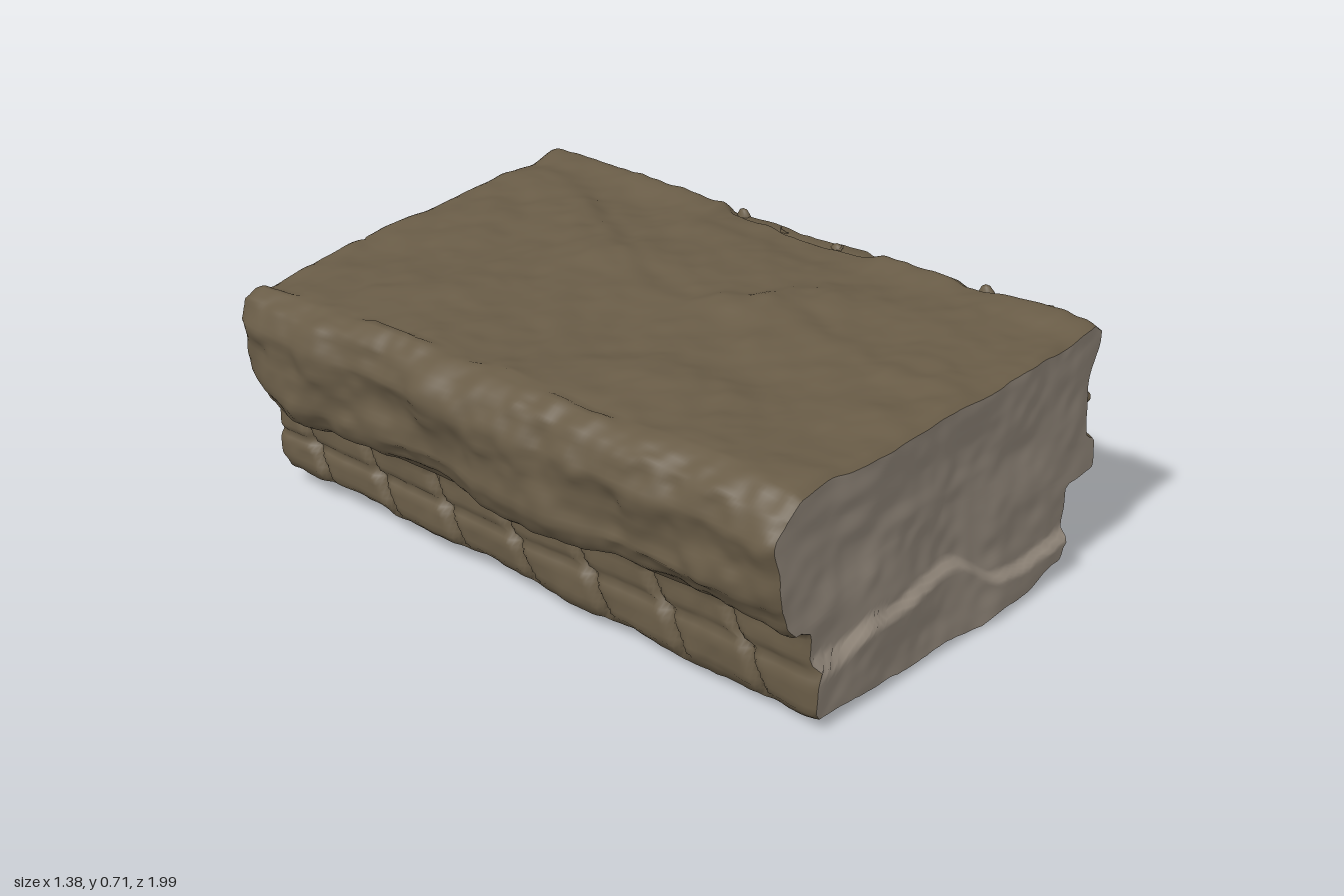
import * as THREE from 'three';

const body = new THREE.MeshStandardMaterial({ color: 0x695c47 });
const cut = new THREE.MeshStandardMaterial({ color: 0x968b7e });

// Smooth seeded value noise, summed over octaves, range about -1..1
const hash = (x, y, z) => {
  const s = Math.sin(x * 127.1 + y * 311.7 + z * 74.7) * 43758.5453;
  return (s - Math.floor(s)) * 2 - 1;
};
const { lerp, smoothstep, clamp } = THREE.MathUtils;
function noise(x, y, z) {
  const [X, Y, Z] = [x, y, z].map(Math.floor);
  const [u, v, w] = [x - X, y - Y, z - Z].map(t => t * t * (3 - 2 * t));
  const row = (b, c) => lerp(hash(X, Y + b, Z + c), hash(X + 1, Y + b, Z + c), u);
  return lerp(lerp(row(0, 0), row(1, 0), v), lerp(row(0, 1), row(1, 1), v), w);
}
function rough(x, y, z, f) {
  return noise(x * f, y * f, z * f) * 0.6 + noise(x * f * 2.3, y * f * 2.3, z * f * 2.3) * 0.3
    + noise(x * f * 5, y * f * 5, z * f * 5) * 0.15;
}

// Moulded cross-section, counterclockwise seen from the front
const N = 220, M = 170;
const outline = [
  [-0.51, 0.04], [0, 0.022], [0.33, 0.032], [0.5, 0.06], [0.53, 0.11], [0.54, 0.25], [0.67, 0.255],
  [0.682, 0.28], [0.682, 0.345], [0.665, 0.37], [0.642, 0.39], [0.642, 0.52], [0.668, 0.62], [0.672, 0.68],
  [0.635, 0.708], [0.2, 0.695], [-0.2, 0.675], [-0.58, 0.675], [-0.64, 0.64], [-0.672, 0.56],
  [-0.655, 0.48], [-0.66, 0.38], [-0.625, 0.32], [-0.53, 0.27], [-0.53, 0.07],
].map(p => new THREE.Vector2(...p));
const shape = new THREE.Shape(outline);
shape.closePath();
const ring = shape.getSpacedPoints(N).slice(0, N);
const normals = ring.map((p, i) => {
  const t = ring[(i + 1) % N].clone().sub(ring[(i + N - 1) % N]).normalize();
  return new THREE.Vector2(t.y, -t.x);
});

// Broken front end with a jutting lower ledge, and a sawn back end with one groove
function frontZ(x, y) {
  const ledge = 0.235 - 0.11 * smoothstep(x, 0.02, 0.22) - 0.05 * smoothstep(-x, 0.3, 0.45) + 0.02 * noise(x * 9, 1, 2);
  return 0.955 + 0.02 * x + 0.026 * smoothstep(ledge - y, -0.006, 0.022) + 0.02 * rough(x, y, 7, 4);
}
function backZ(x, y) {
  const line = -0.17 + 0.012 * noise(y * 12, 3, 5);
  const groove = Math.exp(-Math.pow((x - line) / 0.014, 2)) * 0.012;
  return -0.99 + groove + 0.005 * rough(x, y, 3, 9);
}

// Carving and weathering measured along the surface normal
function relief(p, n, z) {
  let d = 0.012 * rough(p.x, p.y, z, 6);
  const inEnds = smoothstep(1 - Math.abs(z), 0.01, 0.05);
  if (n.y < -0.7 && p.y < 0.12) {
    // Shallow panel below, inside a worn frame
    d -= 0.022 * smoothstep(0.45 - Math.abs(p.x), 0, 0.05) * smoothstep(0.9 - Math.abs(z), 0, 0.05);
    d += 0.012 * rough(p.x, 1, z, 8) + 0.02 * Math.exp(-p.x * p.x * 6 - Math.pow((z - 0.7) * 3, 2));
  } else if (n.x > 0.6 && p.y < 0.25) {
    // Row of curling overlapping leaves
    const q = (z - Math.pow(0.25 - p.y, 1.5) * 2.2 + 0.02 * noise(z * 4, p.y * 9, 2) + 3.04) / 0.243;
    const f = q - Math.floor(q);
    d += inEnds * (0.045 * f * f * smoothstep(1 - f, 0, 0.1) - 0.02) + 0.012 * rough(p.x, p.y, z, 11);
    d -= 0.25 * Math.max(0, 0.12 - p.y) * (1 - f);
  } else if (n.x < -0.6 && p.y < 0.27) {
    // Worn leaf blocks on the other side
    const q = (z + (p.y - 0.15) * 0.5 + 3) / 0.27;
    const f = Math.abs(q - Math.floor(q) - 0.5);
    d -= inEnds * 0.022 * smoothstep(f, 0.4, 0.5) + 0.015 * Math.exp(-Math.pow((p.y - 0.17) / 0.015, 2));
  } else if (p.x < -0.57) {
    d += 0.04 * rough(p.x, p.y * 1.3, z, 4) - 0.02 * smoothstep(-z, 0.85, 1);
  } else if (n.y > 0.6) {
    // Split bedding plane and chipped hollows on top
    const edge = 0.1 + 0.45 * Math.max(0, -0.15 - z) + 0.12 * noise(z * 4, 4, 1);
    d += 0.022 * rough(p.x, 2, z, 3.5) - 0.005;
    d -= 0.012 * smoothstep(p.x, edge, edge + 0.08) * smoothstep(0.62 - p.x, 0, 0.1);
    d -= 0.025 * smoothstep(-z, 0.75, 1) * smoothstep(-p.x, 0.1, 0.6);
    d -= 0.03 * smoothstep(p.x, 0.45, 0.64) * smoothstep(noise(z * 5, 8, 1), 0, 0.6);
  } else if (p.y > 0.25 && p.y < 0.37) {
    d *= 0.5;
  } else if (p.x > 0.6 && p.y > 0.39) {
    // Uneven ground behind the foliage
    d += 0.03 * rough(3, p.y, z, 7) * inEnds;
  }
  return d - 0.011 * Math.pow(clamp((Math.abs(z) - 0.96) / 0.04, 0, 1), 2);
}

function surfacePoint(i, v) {
  const p = ring[i], n = normals[i], d = relief(p, n, v);
  const x = p.x + n.x * d;
  let y = p.y + n.y * d;
  y += (0.008 - 0.022 * v) * smoothstep(0.22 - y, 0, 0.15);
  return new THREE.Vector3(x, Math.max(0, y), lerp(backZ(x, y), frontZ(x, y), (v + 1) / 2));
}

// Mesh from rows of N points, each row a closed loop
function loft(name, rows, pointAt, material, flip = false) {
  const pos = [], index = [];
  for (let j = 0; j <= rows; j++) for (let i = 0; i < N; i++) pos.push(...pointAt(i, j / rows));
  for (let j = 0; j < rows; j++) for (let i = 0; i < N; i++) {
    const k = (i + 1) % N, a = j * N + i, b = j * N + k, c = a + N, e = b + N;
    if (flip) index.push(a, c, b, b, c, e);
    else index.push(a, b, c, b, e, c);
  }
  const g = new THREE.BufferGeometry();
  g.setAttribute('position', new THREE.Float32BufferAttribute(pos, 3));
  g.setIndex(index);
  g.computeVertexNormals();
  const m = new THREE.Mesh(g, material);
  m.name = name;
  return m;
}
function endFace(name, v, zAt, flip) {
  return loft(name, 34, (i, t) => {
    const e = surfacePoint(i, v), x = e.x * (1 - t), y = lerp(e.y, 0.42, t);
    return new THREE.Vector3(x, y, t === 0 ? e.z : zAt(x, y));
  }, cut, flip);
}

// Raised stem through a few points
function stem(name, points, r) {
  const curve = new THREE.CatmullRomCurve3(points.map(p => new THREE.Vector3(...p)));
  const m = new THREE.Mesh(new THREE.TubeGeometry(curve, 36, r, 7), body);
  m.name = name;
  return m;
}
// Flattened pebble-like lobe; size is [x, y, z]
const ball = new THREE.SphereGeometry(1, 12, 8);
function lobe(name, at, size, turn = [0, 0, 0]) {
  const m = new THREE.Mesh(ball, body);
  m.name = name;
  m.position.set(...at);
  m.scale.set(...size);
  m.rotation.set(...turn);
  return m;
}
// Fan of broad lobes on the carved side; angle 0 points up, positive toward the front
const faceX = y => 0.638 + 0.25 * clamp(y - 0.52, 0, 0.1);
function sideLeaf(z, y, angle, size) {
  const g = new THREE.Group();
  g.name = 'scrollLeaf';
  for (let k = -2; k <= 2; k++) {
    const a = angle + k * 0.55, r = size * 0.45 * (1 + 0.2 * hash(z, y, k));
    const py = y + Math.cos(a) * r;
    g.add(lobe('leafLobe', [faceX(py), py, z + Math.sin(a) * r], [0.024 + 0.006 * hash(k, z, y), r * 1.15, size * 0.27], [a, 0, 0]));
  }
  return g;
}

export function createModel() {
  const model = new THREE.Group();
  model.name = 'carvedStoneBlock';
  model.add(loft('blockBody', M, (i, t) => surfacePoint(i, t * 2 - 1), body));
  model.add(endFace('brokenFrontEnd', 1, frontZ, false));
  model.add(endFace('sawnBackEnd', -1, backZ, true));

  // Scrolling foliage above the fillet, as [z, y] paths
  const scrolls = [
    [[0.76, 0.66], [0.75, 0.56], [0.68, 0.48], [0.57, 0.43], [0.53, 0.47]],
    [[0.5, 0.4], [0.35, 0.395], [0.13, 0.41], [-0.02, 0.46], [-0.05, 0.55], [0.0, 0.63], [0.12, 0.655]],
    [[-0.09, 0.67], [-0.13, 0.56], [-0.23, 0.47], [-0.38, 0.45], [-0.52, 0.49], [-0.56, 0.58], [-0.48, 0.63]],
    [[-0.53, 0.5], [-0.64, 0.56], [-0.74, 0.64]],
  ];
  for (const path of scrolls)
    model.add(stem('scrollStem', path.map(([z, y]) => [faceX(y), y, z]), 0.022));
  [[0.87, 0.46, 0.2, 0.1], [0.85, 0.58, -1.5, 0.12], [0.62, 0.55, 0.4, 0.13], [0.28, 0.48, -0.1, 0.17],
    [0.1, 0.53, 0.5, 0.15], [0.42, 0.45, -0.6, 0.1], [-0.25, 0.56, -0.6, 0.12], [-0.42, 0.55, -1.2, 0.12],
    [-0.72, 0.55, -1.0, 0.13], [-0.85, 0.56, -0.5, 0.11]].forEach(a => model.add(sideLeaf(...a)));

  // Vine on the underside
  const floorY = z => 0.058 - 0.022 * z;
  const under = pts => pts.map(([x, z]) => [x, floorY(z), z]);
  [[[0.28, 0.3], [0.1, 0.12], [-0.12, 0.08], [-0.28, -0.05], [-0.32, -0.2]],
    [[-0.12, 0.08], [0.0, -0.12], [0.05, -0.35], [0.2, -0.5]],
    [[-0.12, 0.08], [-0.26, 0.24], [-0.3, 0.42]]].forEach(p => model.add(stem('vineStem', under(p), 0.022)));

  // Grape clusters hanging from the vine
  for (const [cx, cz, rows] of [[-0.22, -0.3, 6], [0.18, -0.55, 4]])
    for (let r = 0; r < rows; r++) for (let k = 0; k < rows - r; k++) {
      const x = cx + (k - (rows - r - 1) / 2) * 0.068 + 0.01 * hash(r, k, 1);
      const z = cz - r * 0.065 + 0.01 * hash(r, k, 2);
      model.add(lobe('grape', [x, floorY(z) + 0.006, z], [0.037, 0.028, 0.042]));
    }

  // Nested curved ridges toward the front of the underside
  for (let k = 0; k < 5; k++) {
    const r = 0.14 + k * 0.07;
    const arc = Array.from({ length: 7 }, (_, i) => {
      const a = 0.35 + i * 0.37;
      return [0.02 + Math.cos(a) * r, 0.42 + Math.sin(a) * r];
    });
    model.add(stem('curvedRidge', under(arc), 0.022));
  }
  // Vine leaves
  for (const [x, z, turn] of [[0.28, 0.05, 0.4], [-0.28, 0.5, 2.2], [0.28, -0.22, 1.2]])
    for (let k = -2; k <= 2; k++) {
      const a = turn + k * 0.6;
      model.add(lobe('vineLeafLobe', [x + Math.cos(a) * 0.06, floorY(z) + 0.004, z - Math.sin(a) * 0.06],
        [0.08, 0.022, 0.038], [0, a, 0]));
    }
  return model;
}
